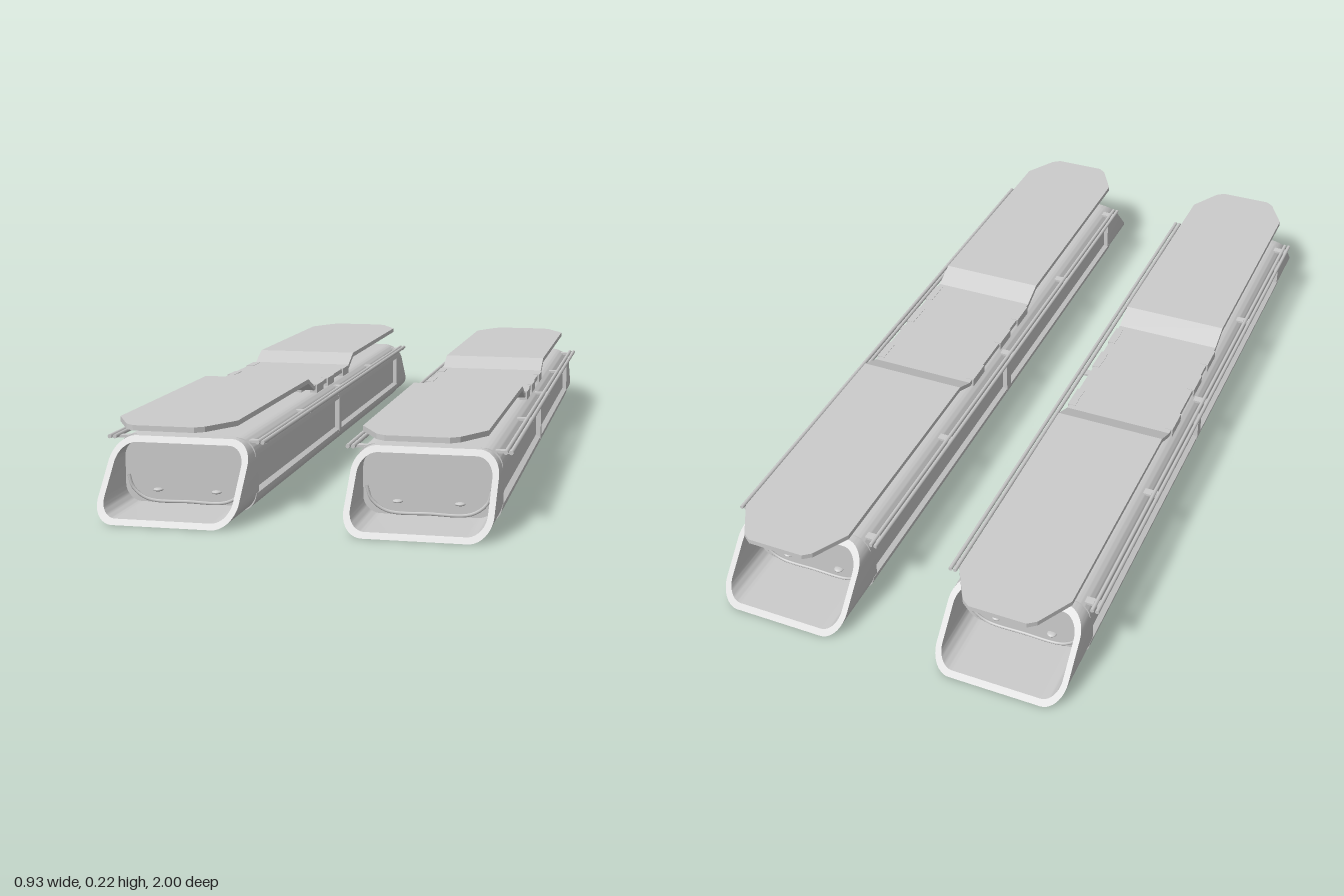
import * as THREE from 'three';
import { toCreasedNormals } from 'three/addons/utils/BufferGeometryUtils.js';

const material = new THREE.MeshStandardMaterial({ color: 0xcccccc, side: THREE.DoubleSide });

function add(group, name, geometry, x = 0, y = 0, z = 0) {
  const mesh = new THREE.Mesh(geometry, material);
  mesh.name = name;
  mesh.position.set(x, y, z);
  group.add(mesh);
  return mesh;
}

// Rounded rectangle between y0 and y1; an optional notch runs along both sides
function outline(w, y0, y1, r, notch = 0, Type = THREE.Shape) {
  const s = new Type();
  s.moveTo(-w + r, y0).lineTo(w - r, y0);
  s.absarc(w - r, y0 + r, r, -Math.PI / 2, 0);
  if (notch) {
    s.lineTo(w - notch, y0 + r + 0.006).lineTo(w - notch, y1 - r - 0.006);
  }
  s.absarc(w - r, y1 - r, r, 0, Math.PI / 2);
  s.lineTo(-w + r, y1);
  s.absarc(-w + r, y1 - r, r, Math.PI / 2, Math.PI);
  if (notch) {
    s.lineTo(-w + notch, y1 - r - 0.006).lineTo(-w + notch, y0 + r + 0.006);
  }
  s.absarc(-w + r, y0 + r, r, Math.PI, Math.PI * 1.5);
  return s;
}

function extrude(shape, depth) {
  return new THREE.ExtrudeGeometry(shape, { depth, bevelEnabled: false, curveSegments: 8 });
}

const smooth = (g) => toCreasedNormals(g, 0.5);

// Hollow end whose mouth leans back toward the top
function shroudGeometry() {
  const shape = outline(0.163, 0, 0.17, 0.05);
  shape.holes.push(outline(0.149, 0.012, 0.157, 0.04, 0, THREE.Path));
  const g = extrude(shape, 1);
  const p = g.attributes.position;
  for (let i = 0; i < p.count; i++) {
    const mouth = 1 - 0.95 * p.getY(i);
    p.setZ(i, 0.8 + p.getZ(i) * (mouth - 0.8));
  }
  return smooth(g);
}

// Bent plate lofted from [z, half width, height] rows
function plateGeometry() {
  const half = [[0.97, 0.07, 0.213], [0.955, 0.09, 0.213], [0.87, 0.138, 0.213],
    [0.26, 0.14, 0.213], [0.2, 0.14, 0.186]];
  const rows = [...half, ...half.map(([z, w, y]) => [-z, w, y]).reverse()];
  const t = 0.006;
  const corners = rows.map(([z, w, y]) =>
    [[-w, y + t, z], [w, y + t, z], [w, y - t, z], [-w, y - t, z]]);
  const v = [];
  const quad = (a, b, c, d) => v.push(...a, ...b, ...c, ...a, ...c, ...d);
  for (let i = 0; i < rows.length - 1; i++) {
    const a = corners[i], b = corners[i + 1];
    for (let k = 0; k < 4; k++) {
      const n = (k + 1) % 4;
      quad(a[k], a[n], b[n], b[k]);
    }
  }
  const f = corners[0], l = corners[corners.length - 1];
  quad(f[3], f[2], f[1], f[0]);
  quad(l[0], l[1], l[2], l[3]);
  const g = new THREE.BufferGeometry();
  g.setAttribute('position', new THREE.Float32BufferAttribute(v, 3));
  g.computeVertexNormals();
  return g;
}

function createPod() {
  const pod = new THREE.Group();
  pod.name = 'pod';

  // Long hull with recessed sides
  const hull = extrude(outline(0.163, 0, 0.17, 0.042, 0.012), 1.64);
  add(pod, 'hull', smooth(hull), 0, 0, -0.82);

  // Band around the middle
  const bandShape = outline(0.164, 0, 0.171, 0.045);
  add(pod, 'middleBand', smooth(extrude(bandShape, 0.026)), 0, 0, -0.01);

  // Top plate
  add(pod, 'topPlate', plateGeometry());

  // Tapered brackets under the plate
  const bracket = new THREE.Shape();
  bracket.moveTo(-0.055, 0.168).lineTo(0.055, 0.168).lineTo(0.1, 0.208).lineTo(-0.1, 0.208);
  for (const z of [-0.68, 0.68]) {
    add(pod, 'plateBracket', extrude(bracket, 0.012), 0, 0, z - 0.006);
  }

  // Block joining the lowered plate centre to the hull
  add(pod, 'plateMount', new THREE.BoxGeometry(0.2, 0.02, 0.36), 0, 0.174, 0);

  // Both slanted ends
  for (const turn of [0, Math.PI]) {
    const end = new THREE.Group();
    end.name = 'end';
    end.rotation.y = turn;
    add(end, 'shroud', shroudGeometry());
    const lip = new THREE.CatmullRomCurve3([[-0.14, 0.075], [-0.13, 0.045], [-0.095, 0.02],
      [0, 0.017], [0.095, 0.02], [0.13, 0.045], [0.14, 0.075]]
      .map(([x, y]) => new THREE.Vector3(x, y, 0.824)));
    add(end, 'innerLip', new THREE.TubeGeometry(lip, 32, 0.004, 6));
    for (const x of [-0.07, 0.07]) {
      add(end, 'stud', new THREE.SphereGeometry(0.012, 12, 8), x, 0.042, 0.822).scale.y = 0.35;
    }
    pod.add(end);
  }

  // Side rails, their supports and the clips by the plate
  for (const s of [-1, 1]) {
    for (const x of [0.17, 0.182]) {
      const rail = new THREE.CylinderGeometry(0.005, 0.005, 1.66, 8).rotateX(Math.PI / 2);
      add(pod, 'sideRail', rail, s * x, 0.163, 0);
    }
    for (const z of [-0.8, -0.4, 0, 0.4, 0.8]) {
      add(pod, 'railSupport', new THREE.BoxGeometry(0.05, 0.006, 0.02), s * 0.16, 0.16, z);
    }
    for (const z of [-0.15, 0.03, 0.15]) {
      add(pod, 'plateClip', new THREE.BoxGeometry(0.02, 0.022, 0.07), s * 0.134, 0.182, z);
    }
  }
  return pod;
}

export function createModel() {
  const model = new THREE.Group();
  for (const [name, x] of [['leftPod', 0.28], ['rightPod', -0.28]]) {
    const pod = createPod();
    pod.name = name;
    pod.position.x = x;
    model.add(pod);
  }
  return model;
}
